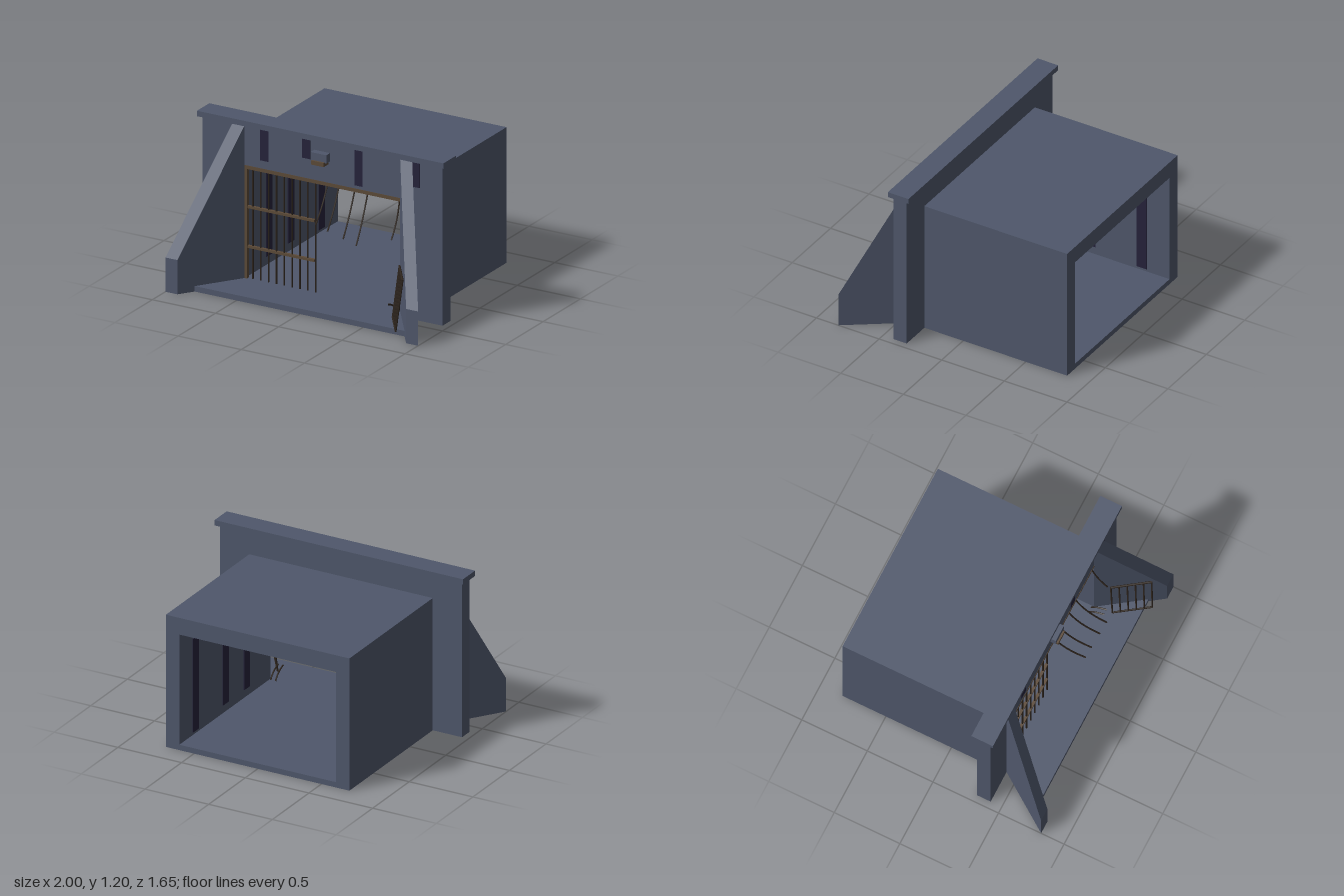
import * as THREE from 'three';

const mat = (name, color) => {
  const m = new THREE.MeshStandardMaterial({ color });
  m.name = name;
  return m;
};

export function createModel() {
  const concrete = mat('concrete', 0x4f576b);
  const stain = mat('damp stain', 0x25223a);
  const rust = mat('rusty frame', 0x5c4a38);
  const iron = mat('dark iron', 0x2e251e);
  const model = new THREE.Group();
  model.name = 'culvert';

  const add = (name, geo, material, parent = model) => {
    const m = new THREE.Mesh(geo, material);
    m.name = name;
    parent.add(m);
    return m;
  };
  // box given by its minimum and maximum corners
  const box = (name, a, b, material, parent) => {
    const g = new THREE.BoxGeometry(b[0] - a[0], b[1] - a[1], b[2] - a[2]);
    g.translate((a[0] + b[0]) / 2, (a[1] + b[1]) / 2, (a[2] + b[2]) / 2);
    return add(name, g, material, parent);
  };
  const V = (p) => new THREE.Vector3(...p);
  const shape = (pts) => new THREE.Shape(pts.map(([x, y]) => new THREE.Vector2(x, y)));
  const extrude = (s, depth) => new THREE.ExtrudeGeometry(s, { depth, bevelEnabled: false });
  // straight round rod between two points
  const rod = (name, a, b, r, material, parent) => {
    const d = V(b).sub(V(a));
    const m = add(name, new THREE.CylinderGeometry(r, r, d.length(), 8), material, parent);
    m.position.copy(V(a)).addScaledVector(d, 0.5);
    m.quaternion.setFromUnitVectors(new THREE.Vector3(0, 1, 0), d.normalize());
  };
  // bent rod through a quadratic curve
  const bent = (name, a, c, b, r, parent) =>
    add(name, new THREE.TubeGeometry(new THREE.QuadraticBezierCurve3(V(a), V(c), V(b)), 10, r, 6), iron, parent);

  // Tunnel, open at both ends
  const tube = shape([[-0.72, 0], [0.72, 0], [0.72, 0.99], [-0.72, 0.99]]);
  tube.holes.push(shape([[-0.615, 0.04], [-0.615, 0.865], [0.615, 0.865], [0.615, 0.04]]));
  add('tunnel', extrude(tube, 1.14), concrete).position.z = -0.83;

  // Head wall around the opening, with its cap
  const wall = shape([[-0.95, 0], [-0.615, 0], [-0.615, 0.865], [0.615, 0.865],
    [0.615, 0], [0.95, 0], [0.95, 1.16], [-0.95, 1.16]]);
  add('headWall', extrude(wall, 0.105), concrete).position.z = 0.31;
  box('cap', [-0.975, 1.16, 0.28], [0.975, 1.2, 0.445], concrete);

  // Apron floor spreading out between the wing walls
  const apron = shape([[-0.615, -0.31], [-0.615, -0.415], [-0.83, -0.72],
    [0.83, -0.72], [0.615, -0.415], [0.615, -0.31]]);
  add('apron', extrude(apron, 0.04).rotateX(-Math.PI / 2), concrete);

  // Splayed wing walls: a side profile sheared outward with z
  for (const s of [-1, 1]) {
    const g = extrude(shape([[0.415, 0], [0.825, 0], [0.825, 0.25], [0.415, 1.155]]), 0.095);
    g.rotateY(-Math.PI / 2); // profile x becomes z, depth becomes -x
    const p = g.attributes.position;
    for (let i = 0; i < p.count; i++) {
      const z = p.getZ(i);
      const out = 0.615 + (z - 0.415) * 0.707;
      p.setX(i, s > 0 ? p.getX(i) + 0.095 + out : p.getX(i) - out);
    }
    g.computeVertexNormals();
    add(s > 0 ? 'leftWingWall' : 'rightWingWall', g, concrete);
  }

  // Damp streaks on the head wall and inside the tunnel
  for (const [x0, x1, y] of [[-0.49, -0.425, 0.925], [-0.16, -0.095, 1.01], [0.255, 0.318, 0.89], [0.71, 0.772, 0.97]])
    box('wallStreak', [x0, y, 0.414], [x1, 1.16, 0.419], stain);
  for (const s of [-1, 1])
    for (const [z, y0, y1] of [[-0.61, 0.06, 0.76], [-0.2, 0.1, 0.72], [0.09, 0.1, 0.74]]) {
      const x = s * 0.613;
      box('tunnelStreak', [x - 0.003, y0, z - 0.04], [x + 0.003, y1, z + 0.04], stain);
    }

  // Lamp above the opening
  box('lampHousing', [-0.065, 1.025, 0.415], [0.06, 1.085, 0.465], concrete);
  box('lampLens', [-0.053, 1.0, 0.415], [0.046, 1.03, 0.478], rust);

  // Grille frame with the bars that still stand
  const grille = new THREE.Group();
  grille.name = 'grille';
  model.add(grille);
  box('topRail', [-0.615, 0.84, 0.375], [0.615, 0.866, 0.417], rust, grille);
  box('sidePost', [-0.618, 0.04, 0.385], [-0.597, 0.84, 0.417], rust, grille);
  for (const y of [0.27, 0.56])
    box('crossRail', [-0.6, y - 0.009, 0.388], [-0.07, y + 0.009, 0.408], rust, grille);
  for (let i = 0; i < 9; i++) {
    const x = -0.56 + i * 0.062;
    rod('bar', [x, 0.04, 0.398], [x, 0.845, 0.398], 0.006, iron, grille);
  }

  // Bars torn loose and bent outward
  for (const [x0, x1, y] of [[0.03, 0.07, 0.63], [0.12, 0.163, 0.6], [0.245, 0.287, 0.57], [0.348, 0.39, 0.54]])
    bent('bentBar', [x0, 0.845, 0.398], [x0 + 0.003, (y + 0.84) / 2 - 0.03, 0.47], [x1, y, 0.625], 0.006, grille);
  bent('bentBar', [0.6, 0.845, 0.398], [0.6, 0.7, 0.42], [0.606, 0.59, 0.52], 0.006, grille);
  for (const x of [0.565, 0.603])
    bent('barStub', [x, 0.04, 0.4], [x, 0.09, 0.42], [x + 0.008, 0.112, 0.515], 0.006, grille);

  // Broken grille panel leaning on the left wing wall
  const panel = new THREE.Group();
  panel.name = 'loosePanel';
  model.add(panel);
  const low = [V([0.632, 0.046, 0.545]), V([0.79, 0.046, 0.77])];
  const high = [V([0.668, 0.414, 0.515]), V([0.83, 0.414, 0.745])];
  rod('panelBottomRail', low[0].toArray(), low[1].toArray(), 0.007, iron, panel);
  rod('panelTopRail', high[0].toArray(), high[1].toArray(), 0.008, iron, panel);
  for (let i = 0; i < 6; i++)
    rod('panelBar', low[0].clone().lerp(low[1], i / 5).toArray(),
      high[0].clone().lerp(high[1], i / 5).toArray(), 0.006, iron, panel);

  return model;
}
